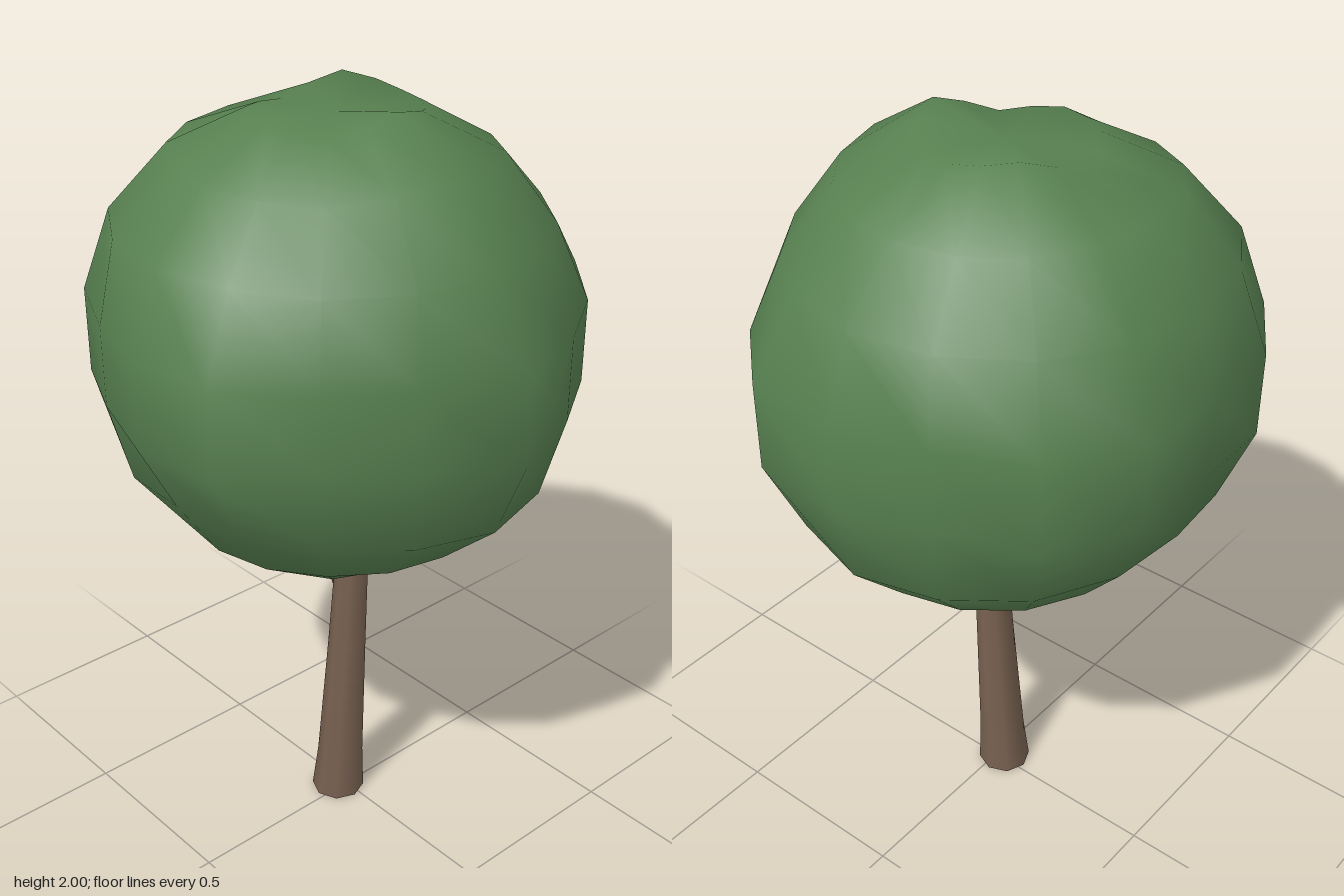
import * as THREE from 'three';
import { mergeVertices } from 'three/addons/utils/BufferGeometryUtils.js';

const leaf = new THREE.MeshStandardMaterial({ color: 0x578050 });
leaf.name = 'leaf green';
const bark = new THREE.MeshStandardMaterial({ color: 0x796251 });
bark.name = 'bark brown';

const COLUMNS = 16;
const ROWS = 9;

// Crown radii around the widest part, counter-clockwise from +x seen from above
const girth = [
  0.655, 0.615, 0.62, 0.657, 0.625, 0.6, 0.647, 0.636,
  0.59, 0.628, 0.635, 0.595, 0.62, 0.639, 0.575, 0.58,
];

// Crown radii for each row from the top pole to the bottom pole, evenly spaced around
const crownRows = [
  [0.56],
  [0.64, 0.605, 0.61, 0.64, 0.585, 0.605, 0.605, 0.58],
  [0.635, 0.615, 0.61, 0.605, 0.64, 0.625, 0.605, 0.595],
  [0.62, 0.605, 0.63, 0.625, 0.62, 0.635, 0.615, 0.6],
  girth,
  girth,
  [0.645, 0.62, 0.655, 0.635, 0.6, 0.64, 0.59, 0.61],
  [0.61, 0.62, 0.635, 0.62, 0.6, 0.615, 0.61, 0.605],
  [0.605, 0.61, 0.63, 0.635, 0.635, 0.625, 0.615, 0.62],
  [0.58],
];

// Radius of a row at a column, blended between its listed values
function rowRadius(row, column) {
  const t = (column / COLUMNS) * row.length;
  const i = Math.floor(t);
  return THREE.MathUtils.lerp(row[i % row.length], row[(i + 1) % row.length], t - i);
}

// Lumpy crown: a coarse sphere whose vertices are pushed in and out
function makeCrown() {
  let geometry = new THREE.SphereGeometry(1, COLUMNS, ROWS);
  geometry.deleteAttribute('uv');
  geometry.deleteAttribute('normal');
  geometry = mergeVertices(geometry, 1e-3);
  const pos = geometry.attributes.position;
  const v = new THREE.Vector3();
  for (let i = 0; i < pos.count; i++) {
    v.fromBufferAttribute(pos, i);
    const row = Math.round((Math.acos(THREE.MathUtils.clamp(v.y, -1, 1)) / Math.PI) * ROWS);
    const turn = Math.atan2(-v.z, v.x) / (2 * Math.PI);
    const column = (Math.round(turn * COLUMNS) + COLUMNS) % COLUMNS;
    v.multiplyScalar(rowRadius(crownRows[row], column));
    pos.setXYZ(i, v.x, v.y, v.z);
  }
  geometry.computeVertexNormals();
  const mesh = new THREE.Mesh(geometry, leaf);
  mesh.name = 'crown';
  mesh.position.set(-0.035, 1.4, 0);
  return mesh;
}

// Tapered limb through stations [x, y, z, radius], listed from bottom to top
function makeLimb(name, stations, sides) {
  const last = stations.length - 1;
  const geometry = new THREE.CylinderGeometry(1, 1, 1, sides, last);
  const pos = geometry.attributes.position;
  for (let i = 0; i < pos.count; i++) {
    const [x, y, z, r] = stations[Math.round((pos.getY(i) + 0.5) * last)];
    pos.setXYZ(i, x + pos.getX(i) * r, y, z + pos.getZ(i) * r);
  }
  const mesh = new THREE.Mesh(geometry, bark);
  mesh.name = name;
  return mesh;
}

export function createModel() {
  const tree = new THREE.Group();
  tree.name = 'tree';
  tree.add(
    makeCrown(),
    makeLimb('trunk', [
      [-0.018, 0, 0.017, 0.073],
      [-0.012, 0.13, 0.013, 0.063],
      [0.01, 0.5, 0.008, 0.051],
      [0.026, 0.8, 0.003, 0.043],
      [0.03, 0.92, 0.003, 0.04],
    ], 8),
    makeLimb('rightBranch', [
      [0.015, 0.64, 0, 0.036],
      [-0.08, 0.81, -0.005, 0.036],
      [-0.13, 0.9, -0.005, 0.03],
    ], 6),
    makeLimb('leftBranch', [
      [0.035, 0.74, 0, 0.028],
      [0.08, 0.83, -0.01, 0.028],
      [0.115, 0.91, -0.015, 0.022],
    ], 6),
  );
  return tree;
}
